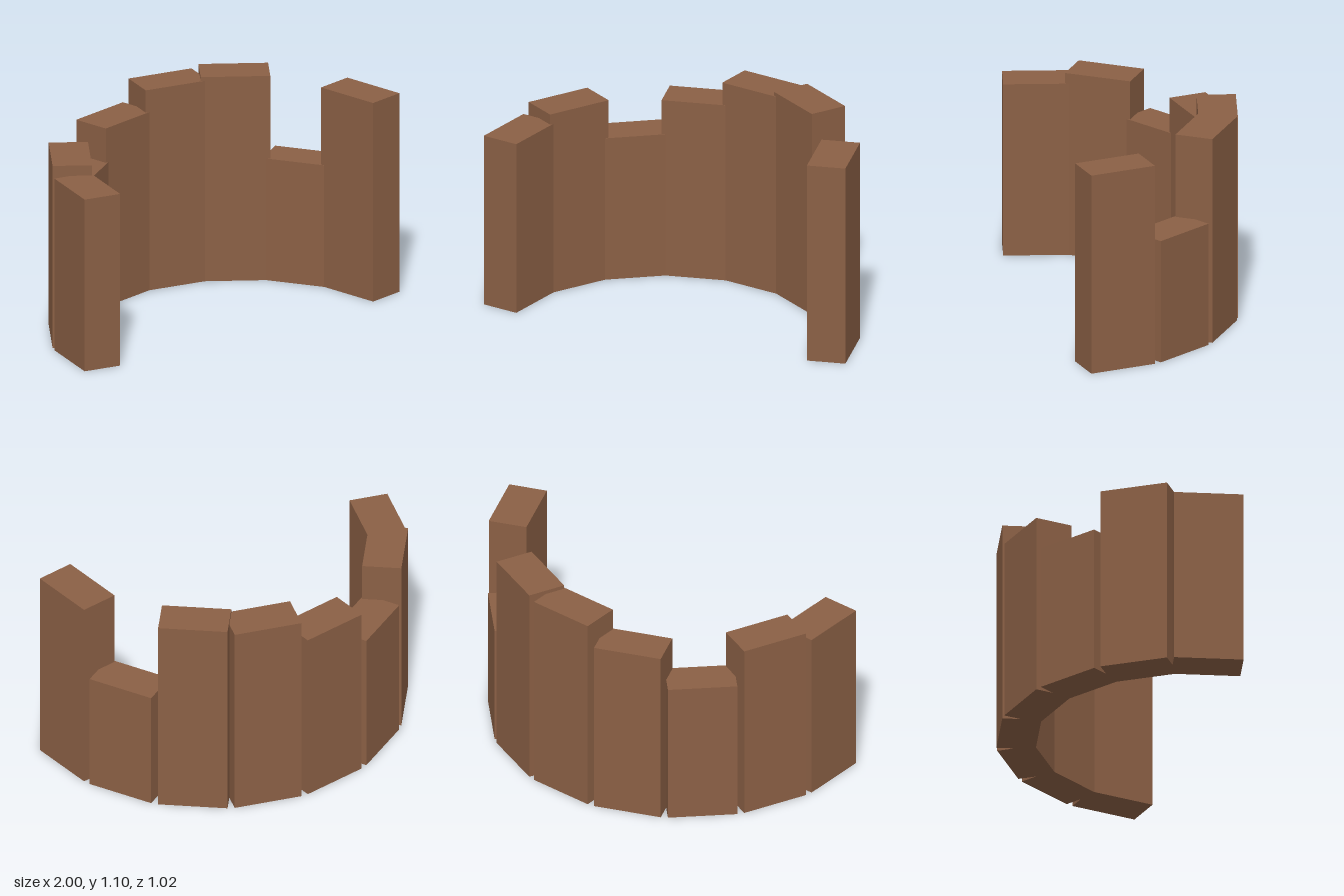
import * as THREE from 'three';

// Curved wall of upright blocks with uneven tops, open to the front.
export function createModel() {
  const model = new THREE.Group();
  model.name = 'curvedWall';
  const brown = new THREE.MeshStandardMaterial({ color: 0x8b6045 });
  brown.name = 'brown';

  // Block heights, from the right end (-x) round the back to the left end (+x)
  const heights = [0.925, 0.98, 0.775, 0.96, 1.08, 1.1, 0.655, 1.07];
  const radius = 0.884, centreZ = 0.49, width = 0.354, depth = 0.2;

  heights.forEach((h, i) => {
    const t = ((i + 0.5) / heights.length) * Math.PI;
    const block = new THREE.Mesh(new THREE.BoxGeometry(width, h, depth), brown);
    block.name = `wallBlock${i + 1}`;
    block.position.set(-radius * Math.cos(t), h / 2, centreZ - radius * Math.sin(t));
    block.rotation.y = Math.PI / 2 - t;
    model.add(block);
  });
  return model;
}
